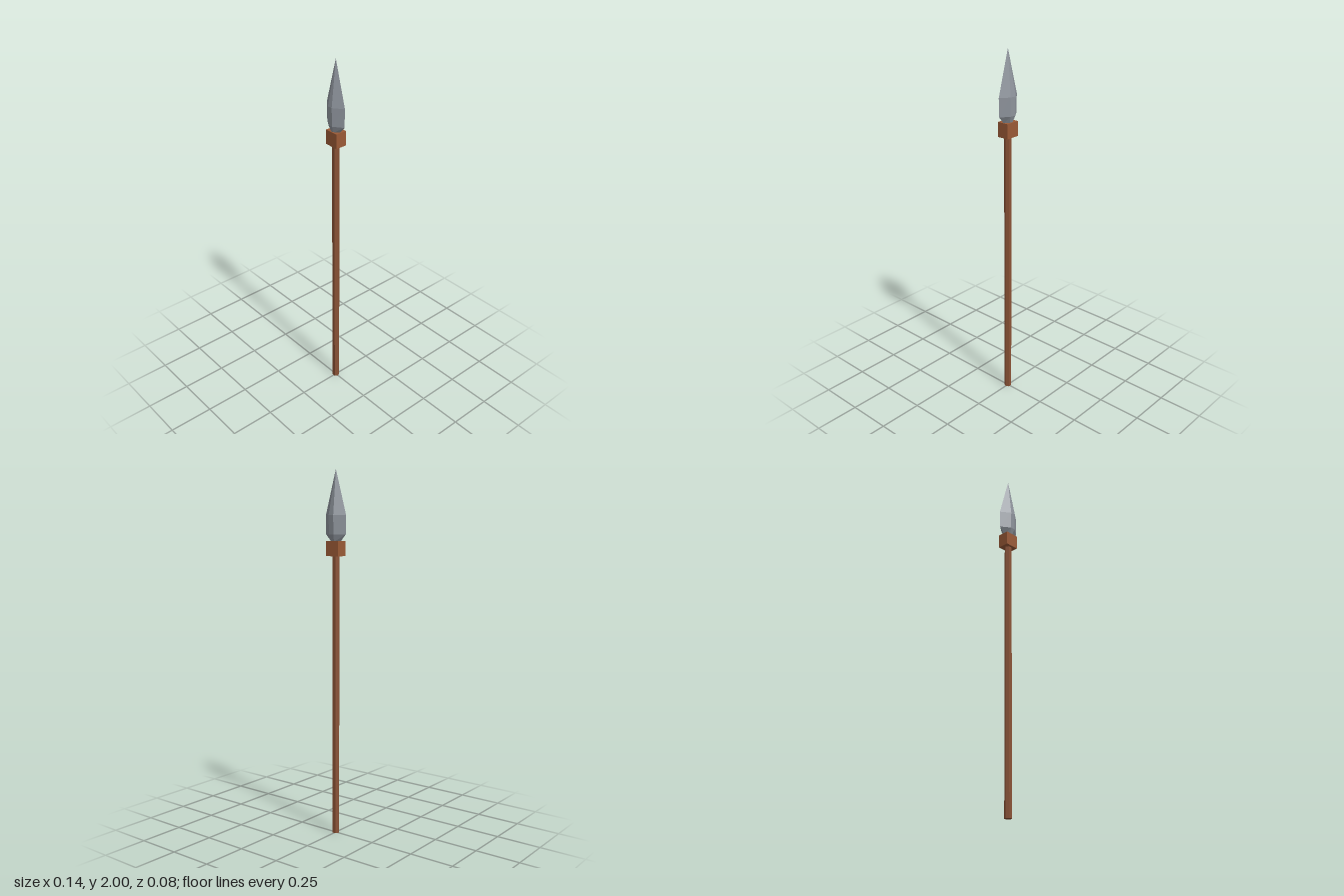
import * as THREE from 'three';

const mat = (name, color) => {
  const m = new THREE.MeshStandardMaterial({ color, flatShading: true });
  m.name = name;
  return m;
};

// Faceted blade: one six-sided outline scaled at several heights, closed by a point
function bladeGeometry() {
  const outline = [[0.068, 0], [0.02, -0.037], [-0.014, -0.041], [-0.068, 0], [-0.014, 0.039], [0.014, 0.039]];
  const levels = [[1.62, 0.45, 0.6], [1.66, 0.97, 0.95], [1.76, 1, 1], [2, 0, 0]]; // y, x scale, z scale
  const n = outline.length;
  const positions = [];
  const index = [];
  for (const [y, sx, sz] of levels) for (const [x, z] of outline) positions.push(x * sx, y, z * sz);
  for (let l = 0; l < levels.length - 1; l++) {
    for (let i = 0; i < n; i++) {
      const a = l * n + i, b = l * n + (i + 1) % n;
      index.push(a, b, b + n);
      if (l < levels.length - 2) index.push(a, b + n, a + n);
    }
  }
  for (let i = 1; i < n - 1; i++) index.push(0, i + 1, i); // underside
  const g = new THREE.BufferGeometry();
  g.setAttribute('position', new THREE.Float32BufferAttribute(positions, 3));
  g.setIndex(index);
  const flat = g.toNonIndexed();
  flat.computeVertexNormals();
  return flat;
}

export function createModel() {
  const group = new THREE.Group();
  group.name = 'spear';
  const add = (name, geometry, material, y = 0, z = 0) => {
    const mesh = new THREE.Mesh(geometry, material);
    mesh.name = name;
    mesh.position.set(0, y, z);
    group.add(mesh);
  };

  // Six-sided pole with corners to the left and right
  add('shaft', new THREE.CylinderGeometry(0.02, 0.02, 1.56, 6, 1, false, Math.PI / 2), mat('shaft wood', 0x8a5235), 0.78);
  // Square binding joining pole and blade
  add('collar', new THREE.BoxGeometry(0.08, 0.08, 0.064), mat('collar leather', 0x9a5a36), 1.585, -0.001);
  add('blade', bladeGeometry(), mat('steel', 0x8e949c));
  return group;
}
